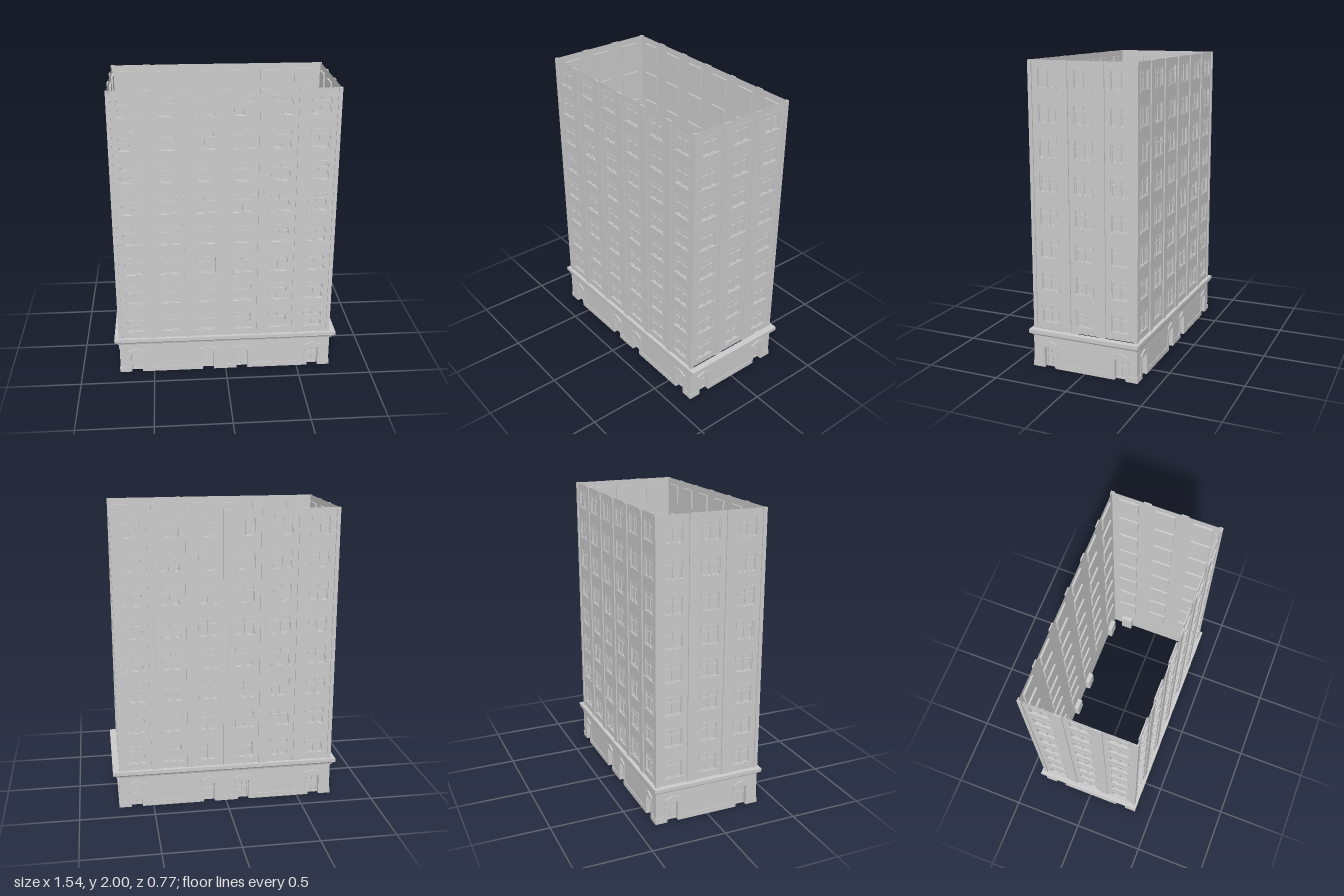
import * as THREE from 'three';
import { mergeGeometries } from 'three/addons/utils/BufferGeometryUtils.js';

const mat = new THREE.MeshStandardMaterial({ color: 0xcccccc, side: THREE.DoubleSide });

const BASE_TOP = 0.222, TOWER_BOTTOM = 0.265, TOP = 2, ROWS = 8;
const PIER_W = 0.05, PIER_D = 0.008;

function add(parent, name, geometry, x = 0, y = 0, z = 0) {
  const mesh = new THREE.Mesh(geometry, mat);
  mesh.name = name;
  mesh.position.set(x, y, z);
  parent.add(mesh);
  return mesh;
}

function polygon(points, Type = THREE.Shape) {
  return new Type(points.map(([x, y]) => new THREE.Vector2(x, y)));
}

function rect(x, y, w, h, Type = THREE.Shape) {
  return polygon([[x - w / 2, y - h / 2], [x + w / 2, y - h / 2], [x + w / 2, y + h / 2], [x - w / 2, y + h / 2]], Type);
}

function extrude(shape, back, front) {
  return new THREE.ExtrudeGeometry(shape, { depth: front - back, bevelEnabled: false }).translate(0, 0, back);
}

// Window: outer casing, set-back cross bars, glass and a slim sill
const WIN_W = 0.13, WIN_H = 0.13;
function windowGeometry() {
  const casing = rect(0, 0, WIN_W, WIN_H);
  casing.holes.push(rect(0, 0, WIN_W - 0.014, WIN_H - 0.014, THREE.Path));
  const bars = rect(0, 0, WIN_W - 0.014, WIN_H - 0.014);
  for (const s of [-1, 1]) {
    bars.holes.push(rect(s * 0.03, -0.018, 0.044, 0.07, THREE.Path));
    bars.holes.push(rect(s * 0.03, 0.037, 0.044, 0.024, THREE.Path));
  }
  return mergeGeometries([
    extrude(casing, -0.011, 0.002),
    extrude(bars, -0.011, -0.004),
    extrude(rect(0, 0, WIN_W, WIN_H), -0.0115, -0.0105),
    extrude(rect(0, -WIN_H / 2, WIN_W + 0.014, 0.01), 0, 0.005),
  ]);
}

// Door recess: jambs, ceiling, panelled leaf
const DOOR_W = 0.082, DOOR_H = 0.143, DOOR_D = 0.033;
function doorGeometry() {
  const frame = polygon([[-0.041, 0], [-0.041, DOOR_H], [0.041, DOOR_H], [0.041, 0],
    [0.038, 0], [0.038, DOOR_H - 0.003], [-0.038, DOOR_H - 0.003], [-0.038, 0]]);
  const leaf = rect(0, 0.07, 0.076, 0.14);
  for (const s of [-1, 1]) {
    leaf.holes.push(rect(s * 0.018, 0.045, 0.026, 0.066, THREE.Path));
    leaf.holes.push(rect(s * 0.018, 0.11, 0.026, 0.04, THREE.Path));
  }
  return mergeGeometries([
    extrude(frame, -DOOR_D, 0.004),
    extrude(leaf, -DOOR_D, -DOOR_D + 0.006),
    extrude(rect(0, DOOR_H / 2, DOOR_W, DOOR_H), -DOOR_D - 0.001, -DOOR_D),
  ]);
}

const windowGeo = windowGeometry();
const doorGeo = doorGeometry();
const pedimentGeo = extrude(polygon([[-0.06, 0.157], [0.06, 0.157], [0.06, 0.166], [0, 0.187], [-0.06, 0.166]]), 0, 0.009);

// One side of the tower: wall with openings, windows and piers between bays
function towerFacade(name, half, dist, bays) {
  const g = new THREE.Group();
  g.name = name;
  const step = (2 * half) / bays, rowStep = (TOP - TOWER_BOTTOM) / ROWS;
  const inner = half - PIER_D, wallZ = dist - PIER_D;
  const height = TOP - TOWER_BOTTOM, midY = (TOP + TOWER_BOTTOM) / 2;
  const wall = rect(0, midY, 2 * inner, height);
  for (let i = 0; i < bays; i++) {
    for (let r = 0; r < ROWS; r++) {
      const x = -half + (i + 0.5) * step, y = TOWER_BOTTOM + (r + 0.5) * rowStep;
      wall.holes.push(rect(x, y, WIN_W, WIN_H, THREE.Path));
      add(g, 'window', windowGeo, x, y, wallZ);
    }
  }
  add(g, 'towerWall', new THREE.ShapeGeometry(wall), 0, 0, wallZ);
  for (let i = 0; i <= bays; i++) {
    const end = i === 0 ? 1 : i === bays ? -1 : 0;
    const w = end ? PIER_W / 2 : PIER_W;
    add(g, end ? 'cornerPier' : 'pier', new THREE.BoxGeometry(w, height, PIER_D),
      -half + i * step + end * w / 2, midY, wallZ + PIER_D / 2);
  }
  return g;
}

// One side of the ground floor: wall, plinth with door surrounds, doors
function baseFacade(name, half, dist, doors) {
  const g = new THREE.Group();
  g.name = name;
  const out = 0.004;
  const wall = [[-half, 0]], plinth = [[-half - out, 0]], crest = [[-half - out, 0.035]];
  for (const x of doors) {
    const notch = [[x - 0.041, 0], [x - 0.041, DOOR_H], [x + 0.041, DOOR_H], [x + 0.041, 0]];
    wall.push(...notch);
    plinth.push(...notch);
    crest.push([x - 0.075, 0.035], [x - 0.064, 0.045], [x - 0.054, 0.16], [x + 0.054, 0.16], [x + 0.064, 0.045], [x + 0.075, 0.035]);
    add(g, 'door', doorGeo, x, 0, dist);
    add(g, 'pediment', pedimentGeo, x, 0, dist);
  }
  wall.push([half, 0], [half, BASE_TOP + 0.01], [-half, BASE_TOP + 0.01]);
  plinth.push([half + out, 0], [half + out, 0.035], ...crest.reverse());
  add(g, 'baseWall', new THREE.ShapeGeometry(polygon(wall)), 0, 0, dist);
  add(g, 'plinth', extrude(polygon(plinth), 0, out));
  g.children[g.children.length - 1].position.z = dist;
  return g;
}

// Rectangular moulding swept from [halfX, halfZ, y] sections
function rectangularRing(sections) {
  const corner = ([hx, hz, y], k) => [[hx, y, hz], [hx, y, -hz], [-hx, y, -hz], [-hx, y, hz]][k % 4];
  const pos = [];
  for (let s = 0; s + 1 < sections.length; s++) {
    for (let k = 0; k < 4; k++) {
      const a = corner(sections[s], k), b = corner(sections[s], k + 1);
      const c = corner(sections[s + 1], k + 1), d = corner(sections[s + 1], k);
      pos.push(...a, ...b, ...c, ...a, ...c, ...d);
    }
  }
  const geo = new THREE.BufferGeometry();
  geo.setAttribute('position', new THREE.Float32BufferAttribute(pos, 3));
  geo.computeVertexNormals();
  return geo;
}

// Four facades around a rectangle
function fourSides(name, build) {
  const g = new THREE.Group();
  g.name = name;
  ['front', 'left', 'back', 'right'].forEach((side, i) => {
    const facade = build(side + 'Facade', i % 2 === 0);
    facade.rotation.y = i * Math.PI / 2;
    g.add(facade);
  });
  return g;
}

export function createModel() {
  const model = new THREE.Group();
  model.name = 'apartmentBlock';

  const TX = 0.7315, TZ = 0.3665;
  const tower = fourSides('tower', (n, long) => long ? towerFacade(n, TX, TZ, 6) : towerFacade(n, TZ, TX, 3));
  tower.position.set(-0.0065, 0, 0.0015);
  model.add(tower);

  const BX = 0.732, BZ = 0.3665;
  const base = fourSides('groundFloor', (n, long) => long
    ? baseFacade(n, BX, BZ, [-0.615, -0.118, 0.118, 0.615])
    : baseFacade(n, BZ, BX, [-0.25, 0.25]));
  base.position.set(-0.003, 0, 0.002);
  model.add(base);

  // Cornice between ground floor and tower
  add(model, 'cornice', rectangularRing([
    [0.73, 0.364, BASE_TOP], [0.744, 0.373, BASE_TOP], [0.75, 0.376, 0.232], [0.768, 0.383, 0.24],
    [0.768, 0.383, TOWER_BOTTOM], [0.724, 0.357, TOWER_BOTTOM],
  ]));
  return model;
}
